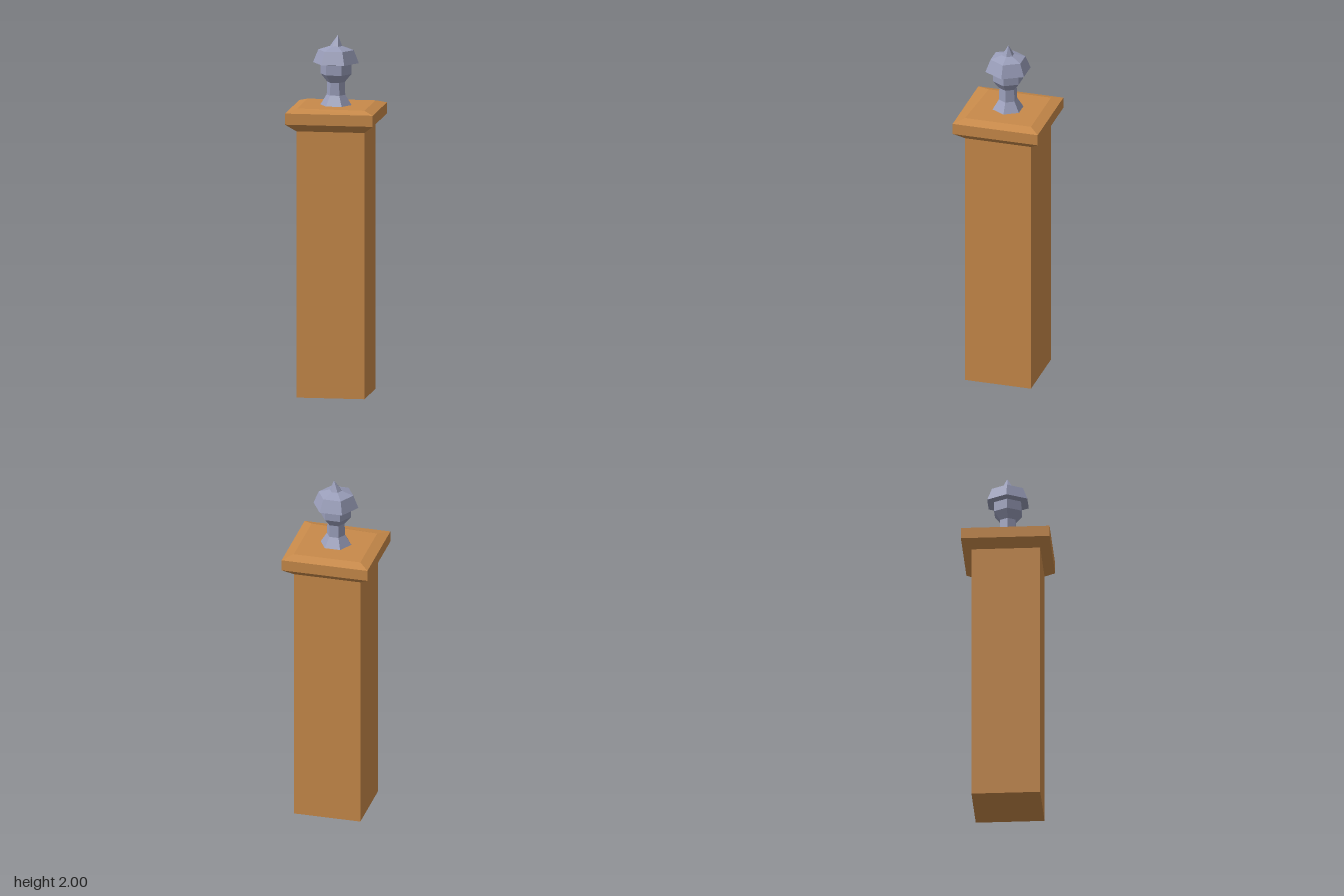
import * as THREE from 'three';

// Faceted turned solid: profile of [radius, height] from bottom to top
function faceted(profile, sides, phase) {
  const points = profile.map(([r, y]) => new THREE.Vector2(r, y));
  const geometry = new THREE.LatheGeometry(points, sides, phase).toNonIndexed();
  geometry.computeVertexNormals();
  return geometry;
}

export function createModel() {
  const wood = new THREE.MeshStandardMaterial({ color: 0xc88a4a });
  wood.name = 'wood';
  const metal = new THREE.MeshStandardMaterial({ color: 0x9a9eba });
  metal.name = 'metal';

  const model = new THREE.Group();
  model.name = 'fencePost';
  const add = (name, geometry, material) => {
    const mesh = new THREE.Mesh(geometry, material);
    mesh.name = name;
    model.add(mesh);
    return mesh;
  };

  // Square shaft
  add('post', new THREE.BoxGeometry(0.38, 1.486, 0.38), wood).position.y = 0.743;

  // Square cap, bevelled above and below
  const d = Math.SQRT2;
  const cap = faceted([
    [0, 1.486], [0.19 * d, 1.486], [0.245 * d, 1.53],
    [0.245 * d, 1.592], [0.19 * d, 1.61], [0, 1.61],
  ], 4, Math.PI / 4);
  // One top corner is worn slightly inward
  const p = cap.attributes.position;
  for (let i = 0; i < p.count; i++) {
    if (p.getY(i) > 1.605 && p.getX(i) < -0.1 && p.getZ(i) > 0.1) p.setZ(i, 0.168);
  }
  cap.computeVertexNormals();
  add('cap', cap, wood);

  // Six-sided finial: flared foot, neck, bulb and overhanging crown
  add('finial', faceted([
    [0, 1.606], [0.09, 1.606], [0.052, 1.667], [0.049, 1.738], [0.086, 1.783],
    [0.086, 1.838], [0.128, 1.845], [0.099, 1.917], [0.035, 1.938], [0, 1.94],
  ], 6, Math.PI / 2), metal);

  // Slightly crooked spike on the crown
  const spike = faceted([[0.035, 1.936], [0, 2]], 6, Math.PI / 2);
  const s = spike.attributes.position;
  for (let i = 0; i < s.count; i++) {
    if (s.getY(i) > 1.99) s.setXYZ(i, 0.01, 2, -0.005);
  }
  spike.computeVertexNormals();
  add('spike', spike, metal);

  return model;
}
